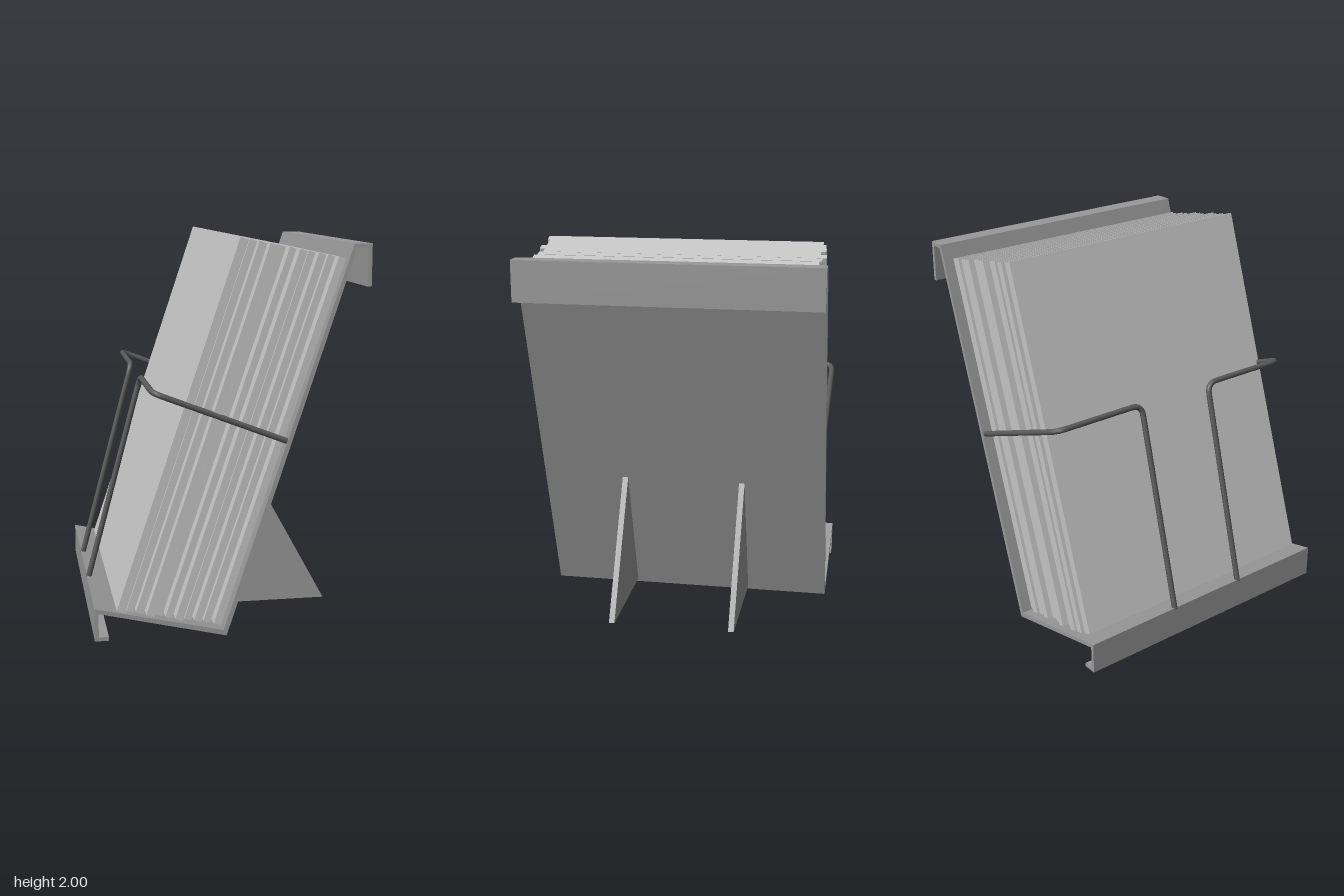
import * as THREE from 'three';

const steel = new THREE.MeshStandardMaterial({ color: 0x999999 });
steel.name = 'sheet grey';
const paper = new THREE.MeshStandardMaterial({ color: 0xc4c4c4 });
paper.name = 'paper grey';
const wire = new THREE.MeshStandardMaterial({ color: 0x5a5a5a });
wire.name = 'wire dark grey';

// Extrude an xy outline along z, centred on zMid
function extrudeZ(name, points, depth, zMid, material) {
  const shape = new THREE.Shape(points.map(([x, y]) => new THREE.Vector2(x, y)));
  const geometry = new THREE.ExtrudeGeometry(shape, { depth, bevelEnabled: false });
  geometry.translate(0, 0, zMid - depth / 2);
  const mesh = new THREE.Mesh(geometry, material);
  mesh.name = name;
  return mesh;
}

// Straight runs joined by rounded bends
function bentPath(points, radius) {
  const path = new THREE.CurvePath();
  let from = points[0];
  for (let i = 1; i < points.length - 1; i++) {
    const p = points[i];
    const toward = (q) => p.clone().add(q.clone().sub(p).setLength(radius));
    const a = toward(points[i - 1]);
    const b = toward(points[i + 1]);
    path.add(new THREE.LineCurve3(from, a));
    path.add(new THREE.QuadraticBezierCurve3(a, p, b));
    from = b;
  }
  path.add(new THREE.LineCurve3(from, points[points.length - 1]));
  return path;
}

export function createModel() {
  const model = new THREE.Group();
  model.name = 'magazineRack';

  // Folded sheet: front lip, sloping shelf, leaning back and hooked top
  model.add(extrudeZ('foldedSheet', [
    [-0.69, 0.01], [-0.62, 0.01], [-0.62, 0.03], [-0.67, 0.03], [-0.67, 0.152],
    [-0.025, 0], [0.615, 1.94], [0.67, 1.94], [0.67, 1.75], [0.69, 1.75],
    [0.69, 1.96], [0.6, 1.96], [-0.04, 0.03], [-0.69, 0.178],
  ], 1.54, 0, steel));

  // Triangular support feet behind the back sheet
  for (const side of [-1, 1]) {
    model.add(extrudeZ(side > 0 ? 'leftSupport' : 'rightSupport',
      [[-0.022, 0.02], [0.59, 0.02], [0.208, 0.715]], 0.03, side * 0.32, steel));
  }

  // Leaning magazines, each shifted a little sideways
  const magazines = new THREE.Group();
  magazines.name = 'magazines';
  const shifts = [0.022, 0.005, 0.0, 0.024, -0.008, 0.01, 0.022, -0.004, 0.004, -0.006, 0.014];
  const thickness = [0.043, 0.037, 0.04, 0.042, 0.036, 0.034, 0.039, 0.035, 0.038, 0.036, 0.038];
  shifts.forEach((shift, i) => {
    const geometry = new THREE.BoxGeometry(thickness[i], 1.94, 1.466);
    geometry.translate(thickness[i] / 2, 0.97, 0);
    const magazine = new THREE.Mesh(geometry, paper);
    magazine.name = 'magazine' + (i + 1);
    magazine.position.set(-0.578 + i * 0.049, 0.156 - i * 0.0098, shift);
    magazine.rotation.z = -0.324;
    magazines.add(magazine);
  });
  model.add(magazines);

  // Bent retaining wires, mirrored left and right
  for (const side of [-1, 1]) {
    const points = [
      [-0.68, 0.165, 0.225], [-0.39, 1.25, 0.225], [-0.39, 1.25, 0.752], [0.285, 0.988, 0.752],
    ].map(([x, y, z]) => new THREE.Vector3(x, y, z * side));
    const rod = new THREE.Mesh(
      new THREE.TubeGeometry(bentPath(points, 0.06), 110, 0.015, 10, false), wire);
    rod.name = side > 0 ? 'leftWire' : 'rightWire';
    model.add(rod);
  }

  return model;
}
